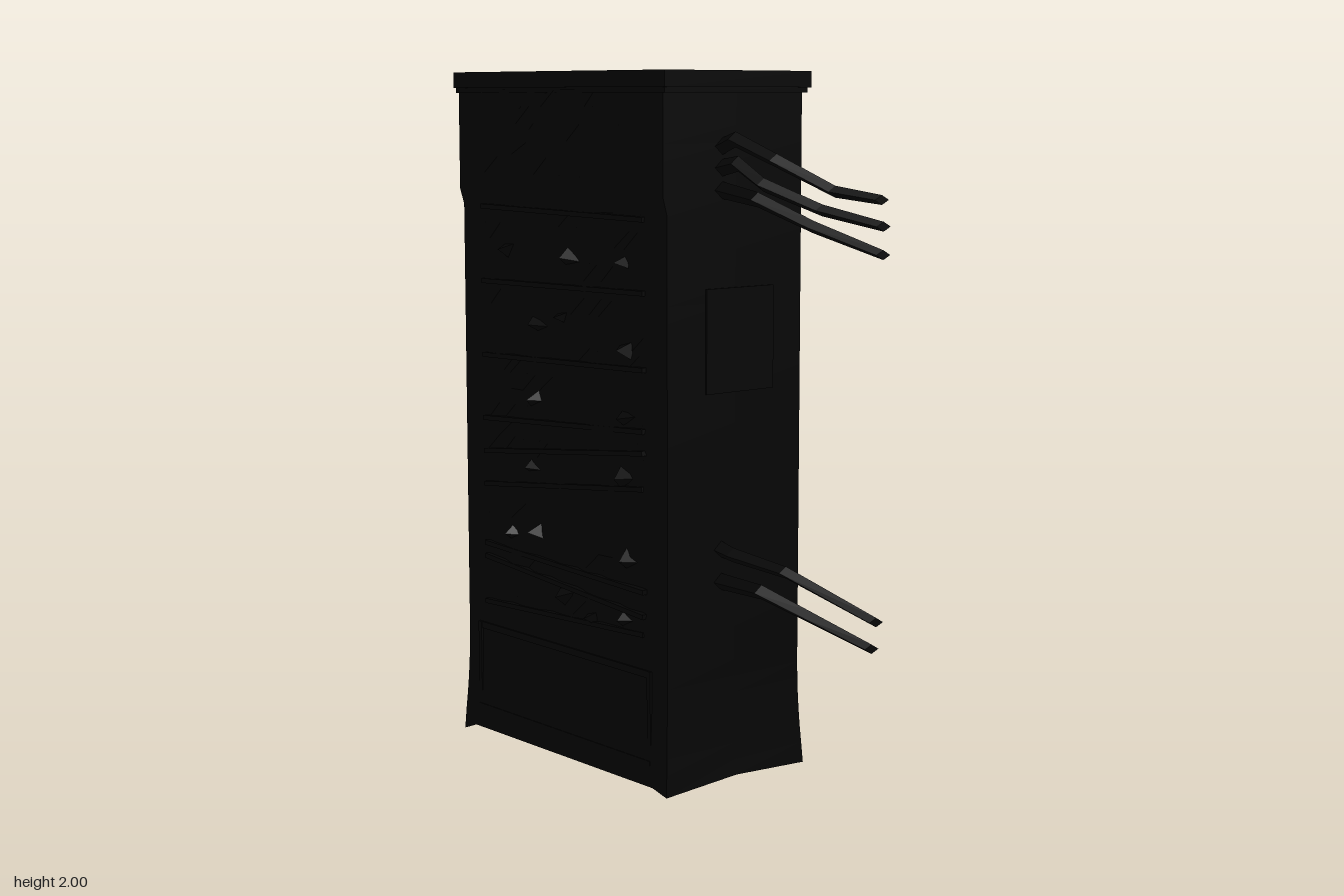
import * as THREE from 'three';

const material = new THREE.MeshStandardMaterial({ color: 0x050505, flatShading: true, side: THREE.DoubleSide });

function addMesh(parent, name, geometry, x = 0, y = 0, z = 0) {
  const mesh = new THREE.Mesh(geometry, material);
  mesh.name = name;
  mesh.position.set(x, y, z);
  parent.add(mesh);
  return mesh;
}

const addBox = (parent, name, x0, x1, y0, y1, z0, z1) =>
  addMesh(parent, name, new THREE.BoxGeometry(x1 - x0, y1 - y0, z1 - z0),
    (x0 + x1) / 2, (y0 + y1) / 2, (z0 + z1) / 2);

function seeded(seed) {
  return () => (seed = (seed * 16807) % 2147483647) / 2147483647;
}

// Tall case: plain sides and back, flared foot, crumpled front
function caseGeometry() {
  const geo = new THREE.BoxGeometry(0.93, 1.93, 0.49, 16, 40, 2);
  const pos = geo.attributes.position;
  const random = seeded(77);
  const dents = Array.from({ length: 17 * 41 }, () => random());
  for (let i = 0; i < pos.count; i++) {
    const u = pos.getX(i) / 0.465, v = pos.getY(i) / 0.965, w = pos.getZ(i) / 0.245;
    const col = Math.round((u + 1) * 8), row = Math.round((v + 1) * 20);
    let y = 0.985 + v * 0.965;
    const flare = Math.pow(Math.max(0, 1 - y / 0.33), 2) * 0.016;
    let z = -0.01 + w * (0.248 + flare);
    if (w > 0.99 && y > 0.38 && Math.abs(u) < 0.85) {
      z += (dents[row * 17 + col] - 0.6) * 0.022;
    }
    if (w > 0.99 && y > 1.66) z += 0.014;
    // low corners form small feet
    if (row === 0) y = Math.abs(u) > 0.95 && Math.abs(w) > 0.95 ? (u < 0 && w > 0 ? 0 : 0.008) : 0.023;
    pos.setXYZ(i, -0.21 + u * (0.465 + flare * 0.9), y, z);
  }
  geo.computeVertexNormals();
  return geo;
}

// Tapered four-sided strand through a few points, ending in a slanted tip
function strandGeometry(points) {
  const vertices = [], indices = [];
  points.forEach(([x, y], i) => {
    const z = x < 0.4 ? 0.04 - (x - 0.25) * 0.13 : 0.02 - (x - 0.4) * 0.58;
    const t = i / (points.length - 1);
    const h = 0.024 - 0.011 * t, d = 0.028 - 0.01 * t;
    vertices.push(x, y + h, z, x - 0.008 * t, y, z + d, x, y - h, z, x + 0.008 * t, y, z - d);
    if (i === 0) return;
    for (let k = 0; k < 4; k++) {
      const a = (i - 1) * 4 + k, b = (i - 1) * 4 + (k + 1) % 4;
      indices.push(a, b, a + 4, b, b + 4, a + 4);
    }
  });
  const e = (points.length - 1) * 4;
  indices.push(e, e + 1, e + 2, e, e + 2, e + 3);
  const geo = new THREE.BufferGeometry();
  geo.setAttribute('position', new THREE.Float32BufferAttribute(vertices, 3));
  geo.setIndex(indices);
  geo.computeVertexNormals();
  return geo;
}

export function createModel() {
  const model = new THREE.Group();
  model.name = 'cabinet';
  addMesh(model, 'case', caseGeometry());

  // Stepped top board
  addBox(model, 'topBoard', -0.69, 0.27, 1.955, 2, -0.28, 0.26);
  addBox(model, 'topMoulding', -0.685, 0.265, 1.94, 1.957, -0.27, 0.255);

  // Thin raised border of the bottom front panel
  const panel = new THREE.Group();
  panel.name = 'bottomPanel';
  model.add(panel);
  addBox(panel, 'bottomPanelRail', -0.62, 0.19, 0.33, 0.35, 0.23, 0.243);
  addBox(panel, 'bottomPanelRail', -0.62, 0.19, 0.08, 0.095, 0.23, 0.248);
  for (const x of [-0.62, 0.175]) addBox(panel, 'bottomPanelStile', x, x + 0.015, 0.08, 0.35, 0.23, 0.245);

  // Low plate on the side
  addBox(model, 'sidePlate', 0.25, 0.26, 1.12, 1.41, -0.15, 0.1);

  // Crooked slats across the front: left height, right height
  const slats = [[1.61, 1.6], [1.39, 1.4], [1.17, 1.19], [0.98, 1.02], [0.78, 0.86],
    [0.88, 0.96], [0.6, 0.57], [0.56, 0.5], [0.42, 0.45]];
  for (const [left, right] of slats) {
    const slat = addMesh(model, 'slat', new THREE.BoxGeometry(0.74, 0.014, 0.02),
      -0.21, (left + right) / 2, 0.237);
    slat.rotation.z = Math.atan2(right - left, 0.74);
  }

  // Splinters sticking out of the front
  const splinters = [[-0.46, 1.49], [-0.17, 1.48], [0.07, 1.48], [-0.32, 1.28], [-0.2, 1.31], [0.08, 1.24],
    [-0.33, 1.06], [0.08, 1.05], [-0.34, 0.86], [0.07, 0.88], [-0.44, 0.65], [-0.33, 0.67], [0.09, 0.65],
    [-0.2, 0.5], [-0.07, 0.46], [0.08, 0.48]];
  const random = seeded(31);
  for (const [x, y] of splinters) {
    const splinter = addMesh(model, 'splinter', new THREE.ConeGeometry(0.04, 0.045, 3), x, y, 0.252);
    splinter.rotation.set(Math.PI / 2, random() * 6, 0);
    splinter.scale.set(0.5 + random() * 0.6, 1, 0.5 + random() * 0.6);
  }

  // Folded shapes in the upper front
  for (const [x, y, r] of [[-0.42, 1.82, 0.1], [-0.14, 1.82, 0.09], [0.03, 1.8, 0.11]]) {
    const fold = addMesh(model, 'fold', new THREE.ConeGeometry(r, 0.02, 5), x, y, 0.25);
    fold.rotation.set(Math.PI / 2, x * 9, 0);
  }

  // Strands reaching out of the side
  const strands = [
    [[0.24, 1.79], [0.3, 1.815], [0.43, 1.76], [0.57, 1.68], [0.68, 1.66]],
    [[0.24, 1.735], [0.31, 1.75], [0.4, 1.695], [0.54, 1.63], [0.685, 1.59]],
    [[0.24, 1.68], [0.38, 1.655], [0.52, 1.585], [0.685, 1.515]],
    [[0.24, 0.685], [0.3, 0.67], [0.46, 0.64], [0.68, 0.52]],
    [[0.24, 0.59], [0.4, 0.58], [0.52, 0.52], [0.67, 0.445]],
  ];
  for (const points of strands) addMesh(model, 'strand', strandGeometry(points));

  return model;
}
